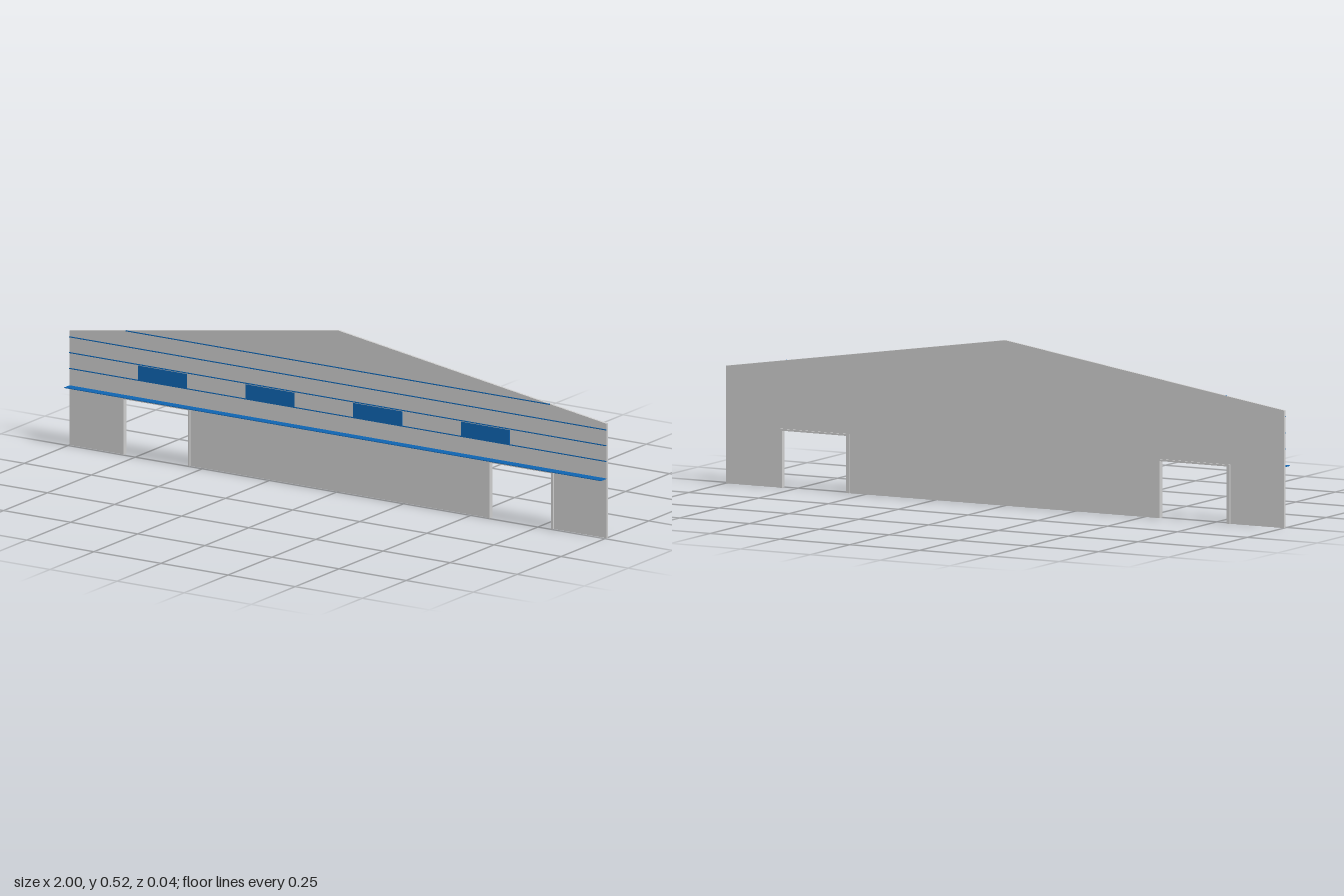
import * as THREE from 'three';

export function createModel() {
  const model = new THREE.Group();
  const grey = new THREE.MeshStandardMaterial({ color: 0xcccccc });
  const blue = new THREE.MeshStandardMaterial({ color: 0x0f63b0 });

  // Box given by its limits on each axis
  function box(name, material, [x0, x1], [y0, y1], [z0, z1]) {
    const mesh = new THREE.Mesh(new THREE.BoxGeometry(x1 - x0, y1 - y0, z1 - z0), material);
    mesh.position.set((x0 + x1) / 2, (y0 + y1) / 2, (z0 + z1) / 2);
    mesh.name = name;
    model.add(mesh);
  }

  // Gabled wall with two doorways cut from its lower edge
  const doors = [[-0.807, -0.549], [0.556, 0.804]];
  const doorTop = 0.186;
  const outline = new THREE.Shape();
  outline.moveTo(-1, 0);
  for (const [a, b] of doors) {
    outline.lineTo(a, 0);
    outline.lineTo(a, doorTop);
    outline.lineTo(b, doorTop);
    outline.lineTo(b, 0);
  }
  outline.lineTo(1, 0);
  outline.lineTo(1, 0.37);
  outline.lineTo(0, 0.521);
  outline.lineTo(-1, 0.37);
  outline.closePath();
  const wall = new THREE.Mesh(
    new THREE.ExtrudeGeometry(outline, { depth: 0.008, bevelEnabled: false }), grey);
  wall.position.z = -0.016;
  wall.name = 'gableWall';
  model.add(wall);

  // Door frames, slightly proud of the wall on both sides
  const frameZ = [-0.02, -0.003];
  for (const [a, b] of doors) {
    box('doorJamb', grey, [a, a + 0.012], [0, doorTop], frameZ);
    box('doorJamb', grey, [b - 0.007, b], [0, doorTop], frameZ);
    box('doorHeader', grey, [a + 0.012, b - 0.007], [0.18, doorTop], frameZ);
  }

  // Horizontal trim lines; the highest one ends at the roof slope
  for (const [y, half] of [[0.248, 1], [0.299, 1], [0.35, 1], [0.401, 0.79]]) {
    box('trimStripe', blue, [-half, half], [y - 0.0015, y + 0.0015], [-0.009, -0.006]);
  }

  // Window panels
  for (const x of [-0.652, -0.251, 0.15, 0.551]) {
    box('windowPanel', blue, [x - 0.091, x + 0.091], [0.247, 0.296], [-0.006, -0.005]);
  }

  // Thin canopy along the whole front
  box('canopy', blue, [-1, 1], [0.191, 0.193], [-0.008, 0.022]);

  // Small diagonal bracket under the canopy
  const curve = new THREE.QuadraticBezierCurve3(
    new THREE.Vector3(-0.88, 0.191, 0.01),
    new THREE.Vector3(-0.88, 0.188, 0.003),
    new THREE.Vector3(-0.88, 0.179, -0.008));
  const bracket = new THREE.Mesh(new THREE.TubeGeometry(curve, 6, 0.0015, 6), grey);
  bracket.name = 'canopyBracket';
  model.add(bracket);

  return model;
}
